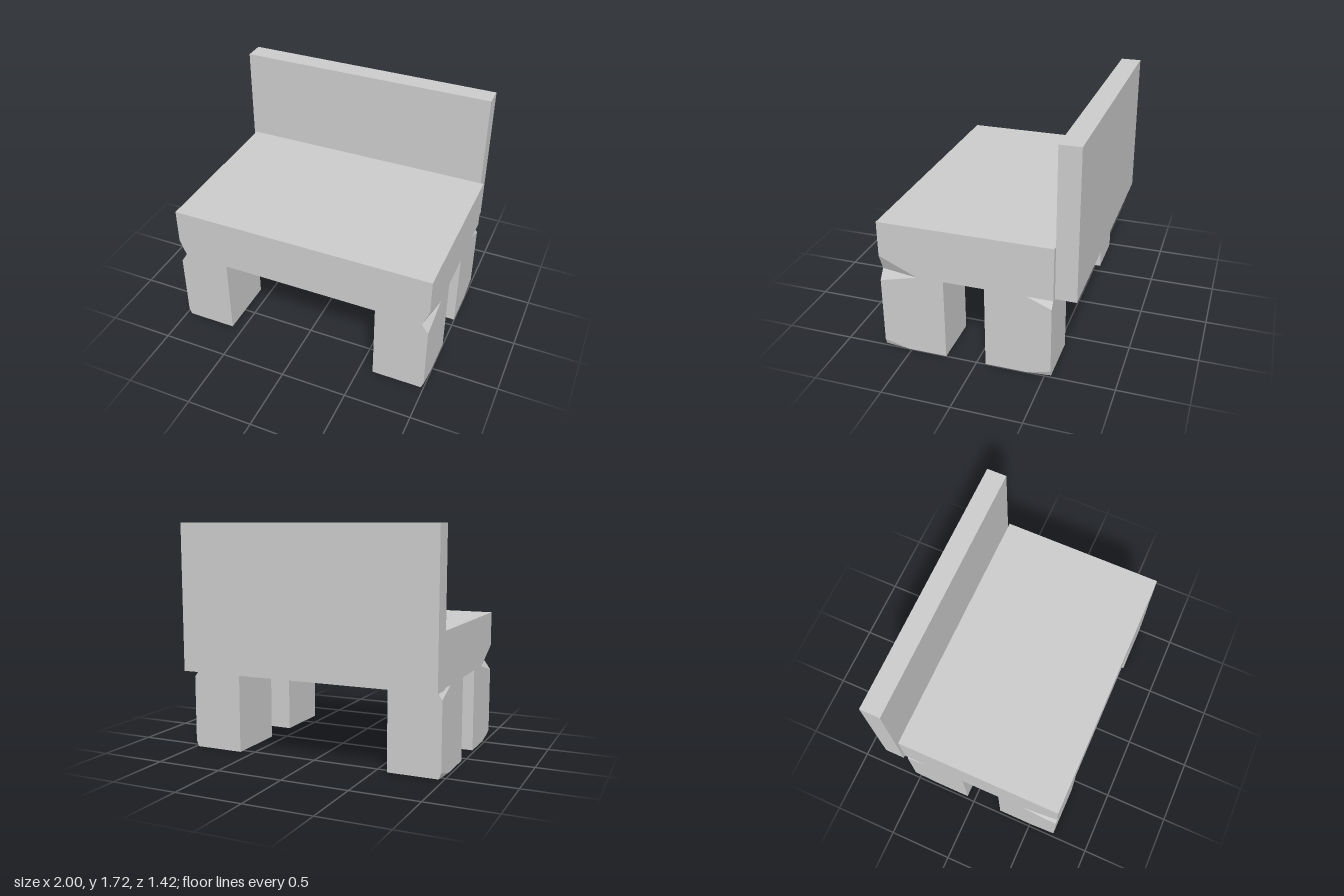
import * as THREE from 'three';
import { ConvexGeometry } from 'three/addons/geometries/ConvexGeometry.js';

const material = new THREE.MeshStandardMaterial({ color: 0xcccccc, flatShading: true });

// Box between two corners; each cut slices a corner off.
// A cut is keyed by corner signs (x, y, z) and lists its reach along x, y and z.
function cutBox(name, min, max, cuts = {}) {
  const points = [];
  for (const sx of [-1, 1]) for (const sy of [-1, 1]) for (const sz of [-1, 1]) {
    const signs = [sx, sy, sz];
    const corner = new THREE.Vector3(...signs.map((s, i) => (s > 0 ? max[i] : min[i])));
    const cut = cuts[signs.join()];
    if (!cut) {
      points.push(corner);
      continue;
    }
    cut.forEach((reach, i) => {
      const p = corner.clone();
      p.setComponent(i, p.getComponent(i) - signs[i] * reach);
      points.push(p);
    });
  }
  const mesh = new THREE.Mesh(new ConvexGeometry(points), material);
  mesh.name = name;
  return mesh;
}

export function createModel() {
  const group = new THREE.Group();
  group.name = 'bench';

  // Thick seat, notched under its two front corners
  const seatNotch = [0.05, 0.125, 0.28];
  group.add(cutBox('seat', [-0.98, 0.62, -0.553], [0.998, 1.01, 0.708], {
    '-1,-1,1': seatNotch,
    '1,-1,1': seatNotch,
  }));

  // Upright back panel, slightly offset sideways
  group.add(cutBox('backrest', [-1, 0.623, -0.708], [0.975, 1.72, -0.557]));

  // Four block legs, with the outer corner cut at top and bottom
  const sides = [
    { side: -1, name: 'Right', x: [-0.98, -0.587] },
    { side: 1, name: 'Left', x: [0.603, 0.998] },
  ];
  const ends = [
    { end: 1, name: 'front', z: [0.232, 0.708], topReach: 0.28, footReach: 0.19 },
    { end: -1, name: 'rear', z: [-0.543, -0.067], topReach: 0.175, footReach: 0.175 },
  ];
  for (const s of sides) for (const e of ends) {
    group.add(cutBox(`${e.name}${s.name}Leg`, [s.x[0], 0, e.z[0]], [s.x[1], 0.62, e.z[1]], {
      [[s.side, 1, e.end].join()]: [0.05, 0.072, e.topReach],
      [[s.side, -1, e.end].join()]: [0.018, 0.045, e.footReach],
    }));
  }
  return group;
}
